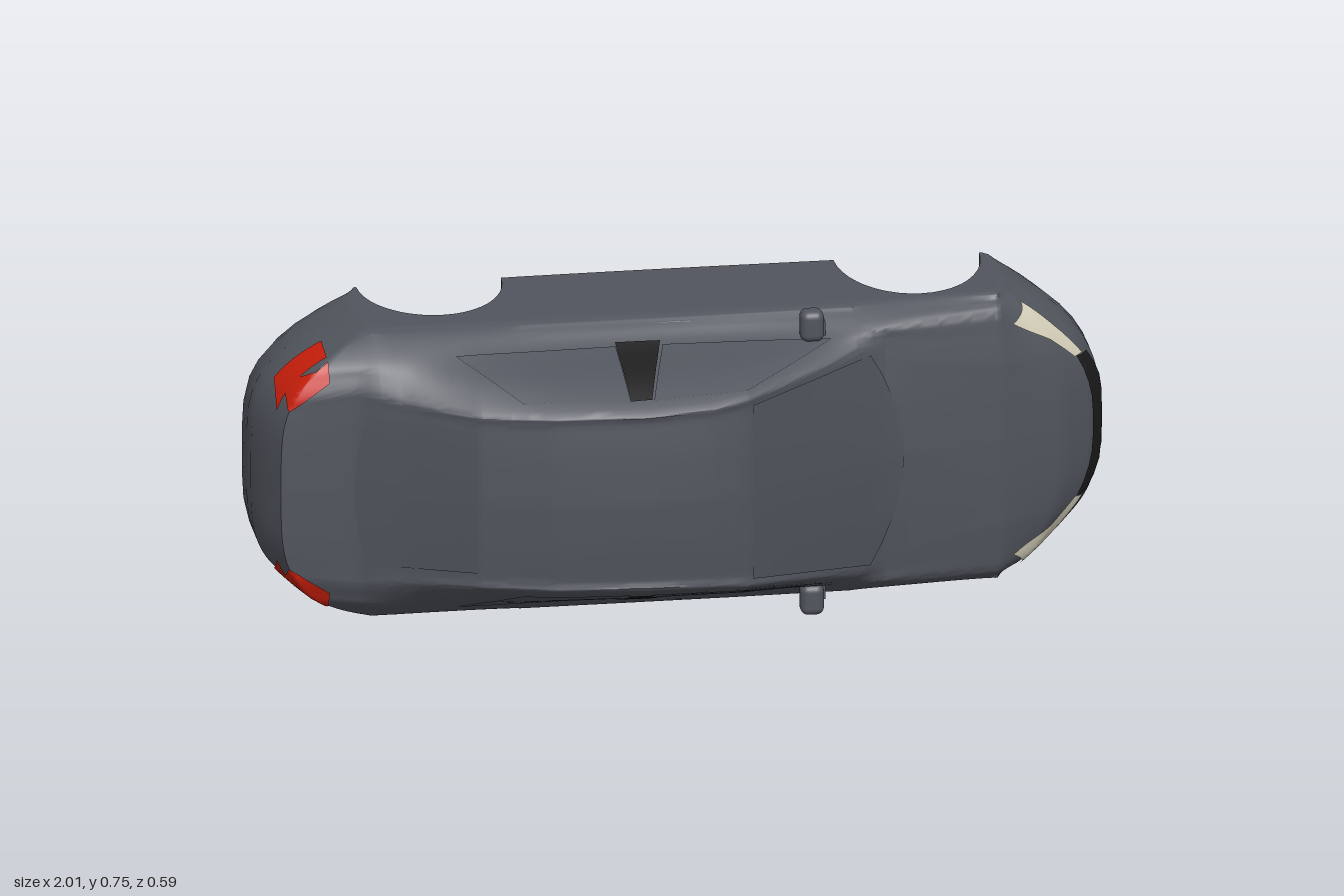
import * as THREE from 'three';
import { toCreasedNormals } from 'three/addons/utils/BufferGeometryUtils.js';
import { RoundedBoxGeometry } from 'three/addons/geometries/RoundedBoxGeometry.js';

// The car lies on its side: x = length (nose +x), y = width, z = height (roof +z).
const MID = 0.38, HALF = 0.355, { lerp } = THREE.MathUtils;

// x, centre top z, roof edge z, roof edge half width, belt z, belt half width, widest z, bottom z
const STATIONS = [
  [-1.0, -0.06, -0.06, 0.2, -0.07, 0.3, -0.1, -0.2],
  [-0.975, 0.02, 0.015, 0.22, 0.005, 0.3, -0.06, -0.24],
  [-0.95, 0.085, 0.08, 0.22, 0.055, 0.295, -0.03, -0.255],
  [-0.78, 0.1, 0.095, 0.24, 0.07, 0.3, -0.02, -0.28],
  [-0.67, 0.15, 0.14, 0.225, 0.08, 0.305, -0.015, -0.285],
  [-0.5, 0.237, 0.225, 0.215, 0.078, 0.31, -0.015, -0.29],
  [-0.33, 0.28, 0.265, 0.218, 0.075, 0.31, -0.015, -0.295],
  [-0.12, 0.297, 0.28, 0.22, 0.075, 0.31, -0.015, -0.297],
  [0.03, 0.286, 0.27, 0.225, 0.072, 0.31, -0.015, -0.297],
  [0.12, 0.262, 0.25, 0.235, 0.07, 0.31, -0.015, -0.297],
  [0.4, 0.115, 0.095, 0.275, 0.062, 0.312, -0.018, -0.295],
  [0.47, 0.08, 0.06, 0.265, 0.052, 0.315, -0.02, -0.295],
  [0.55, 0.062, 0.052, 0.23, 0.038, 0.318, -0.025, -0.295],
  [0.75, 0.028, 0.022, 0.2, 0.004, 0.32, -0.045, -0.295],
  [0.9, -0.025, -0.03, 0.2, -0.04, 0.31, -0.09, -0.28],
  [0.97, -0.08, -0.085, 0.2, -0.095, 0.3, -0.13, -0.25],
  [1.0, -0.13, -0.13, 0.2, -0.14, 0.3, -0.155, -0.2],
];
const ARCHES = [{ x: -0.55, r: 0.17, top: -0.075 }, { x: 0.57, r: 0.17, top: -0.052 }];
const WELL = 0.22; // half width of the solid underside between the wheel wells

function station(x) {
  let i = 0;
  while (i < STATIONS.length - 2 && x > STATIONS[i + 1][0]) i++;
  const a = STATIONS[i], b = STATIONS[i + 1], f = (x - a[0]) / (b[0] - a[0]);
  return a.map((v, k) => lerp(v, b[k], f));
}

// Rounds the nose and tail in plan
function bend(x, w) {
  const q = Math.abs(w) / HALF;
  if (x > 0.745) return 0.745 + (x - 0.745) * (1 - 0.9 * q ** 3);
  if (x < -0.725) return -0.725 + (x + 0.725) * (1 - 0.95 * q ** 4);
  return x;
}

// One closed cross-section: outer skin from side to side, then the underside.
// With flatZ the section collapses to a line that closes the end.
function ring(x, flatZ) {
  const [, zc, zs, ws, zb, wb, zm, bottom] = station(x);
  let low = bottom;
  for (const a of ARCHES) {
    const q = Math.abs(x - a.x) / a.r;
    if (q < 1) low = bottom + (a.top - bottom) * Math.sqrt(1 - q * q);
  }
  const vec = p => new THREE.Vector2(...p);
  const half = new THREE.SplineCurve([
    [0, zc], [ws * 0.5, lerp(zc, zs, 0.3)], [ws * 0.88, lerp(zc, zs, 0.8)], [ws, zs],
    [lerp(ws, wb, 0.52), lerp(zs, zb, 0.43)], [wb, zb], [0.343, lerp(zb, zm, 0.6)],
    [HALF, zm], [HALF, lerp(zm, low, 0.5)], [HALF, low],
  ].map(vec)).getPoints(45);
  const under = [
    ...[0.348, 0.335, 0.315, 0.29, 0.255, WELL].map(w => [w, low]),
    ...[WELL, 0.18, 0.12, 0.06, 0].map(w => [w, bottom]),
  ].map(vec);
  const right = [...half, ...under];
  const left = right.slice(1, -1).reverse().map(p => new THREE.Vector2(-p.x, p.y));
  return [...right, ...left].map(p => {
    const w = THREE.MathUtils.clamp(p.x, -HALF, HALF);
    return [bend(x, w), MID + w, flatZ ?? p.y];
  });
}

// Skins a list of rows of points
function skin(rows, closed) {
  const n = rows[0].length, index = [];
  for (let i = 0; i < rows.length - 1; i++) {
    for (let j = 0; j < (closed ? n : n - 1); j++) {
      const k = (j + 1) % n, a = i * n + j, b = a + n, c = (i + 1) * n + k, d = i * n + k;
      index.push(a, b, c, a, c, d);
    }
  }
  const g = new THREE.BufferGeometry();
  g.setAttribute('position', new THREE.Float32BufferAttribute(rows.flat(2), 3));
  g.setIndex(index);
  g.computeVertexNormals();
  return g;
}

function bodyGeometry() {
  const xs = STATIONS.map(s => s[0]);
  for (let i = 1; i < 50; i++) xs.push(-1 + i * 0.04 + 0.003);
  for (const a of ARCHES) {
    for (let i = 0; i <= 20; i++) xs.push(a.x - a.r * 0.9999 * Math.cos(Math.PI * i / 20));
    xs.push(a.x - a.r - 0.0005, a.x + a.r + 0.0005);
  }
  xs.sort((a, b) => a - b);
  const rows = xs.map(x => ring(x));
  return toCreasedNormals(skin([ring(-1, -0.13), ...rows, ring(1, -0.165)], true), 0.7);
}

export function createModel() {
  const group = new THREE.Group();
  const material = (name, color) => {
    const m = new THREE.MeshStandardMaterial({ color, side: THREE.DoubleSide });
    m.name = name;
    return m;
  };
  const paint = material('grey paint', 0x51555d);
  const glass = material('grey glass', 0x4f535b);
  const black = material('black trim', 0x1c1c1c);
  const red = material('red lamp', 0xc81e0a);
  const cream = material('cream lamp', 0xd8d2bc);
  const add = (name, geometry, mat, x = 0, y = 0, z = 0) => {
    const m = new THREE.Mesh(geometry, mat);
    m.name = name;
    m.position.set(x, y, z);
    group.add(m);
    return m;
  };

  const body = add('bodyShell', bodyGeometry(), paint);
  body.updateMatrixWorld();

  // Lays a four-cornered thin panel on the body, projected along one axis
  const ray = new THREE.Raycaster();
  function panel(name, mat, axis, sign, corners, bow = 0, lift = 0.003) {
    const N = 10, [a, b, c, d] = corners, rows = [];
    const dir = new THREE.Vector3().setComponent(axis, -sign);
    let last = null;
    for (let i = 0; i <= N; i++) {
      const row = [];
      for (let j = 0; j <= N; j++) {
        const u = i / N, v = j / N;
        const p = [0, 1].map(k => lerp(lerp(a[k], b[k], u), lerp(d[k], c[k], u), v));
        p[axis === 0 ? 1 : 0] += bow * 4 * u * (1 - u) * (axis === 0 ? 0.5 + v : v);
        p.splice(axis, 0, sign * 3);
        ray.set(new THREE.Vector3(...p), dir);
        const hit = ray.intersectObject(body)[0];
        if (hit) {
          const n = hit.face.normal.clone();
          if (n.dot(dir) > 0) n.negate();
          last = hit.point.clone().addScaledVector(n, lift).toArray();
        }
        row.push(last || [0, MID, 0]);
      }
      rows.push(row);
    }
    return add(name, skin(rows, false), mat);
  }

  // Windscreen, rear window and grille
  panel('windscreen', glass, 2, 1, [[0.13, 0.165], [0.13, 0.595], [0.43, 0.64], [0.43, 0.12]], 0.08);
  panel('rearWindow', glass, 2, 1, [[-0.51, 0.205], [-0.51, 0.555], [-0.75, 0.565], [-0.75, 0.195]], -0.03);
  panel('grille', black, 0, 1, [[0.208, -0.072], [0.552, -0.072], [0.552, -0.106], [0.208, -0.106]], -0.024, 0.005);

  for (const s of [1, -1]) {
    const side = s > 0 ? 'left' : 'right';
    const Y = w => MID + s * w;
    // Lamps: the tail lamp wraps from the side over the shoulder
    panel(side + 'Headlight', cream, 0, 1,
      [[Y(0.285), -0.005], [Y(0.322), -0.05], [Y(0.175), -0.086], [Y(0.172), -0.068]], 0, 0.005);
    panel(side + 'TailLight', red, 1, s, [[-0.95, 0.04], [-0.835, 0.04], [-0.835, -0.045], [-0.945, -0.04]], 0, 0.005);
    panel(side + 'TailLightTop', red, 2, 1,
      [[-0.835, Y(0.3)], [-0.835, Y(0.258)], [-0.93, Y(0.195)], [-0.93, Y(0.24)]], 0, 0.005);
    // Side glass with the black pillar between the doors
    panel(side + 'FrontWindow', glass, 1, s, [[-0.1, 0.25], [0.12, 0.235], [0.34, 0.078], [-0.055, 0.075]]);
    panel(side + 'RearWindow', glass, 1, s, [[-0.4, 0.225], [-0.155, 0.25], [-0.165, 0.075], [-0.54, 0.08]]);
    panel(side + 'Pillar', black, 1, s, [[-0.155, 0.25], [-0.105, 0.25], [-0.06, 0.065], [-0.165, 0.065]], 0, 0.005);
    // Door mirror on its arm, and the two door handles
    add(side + 'Mirror', new RoundedBoxGeometry(0.055, 0.075, 0.052, 4, 0.018), paint, 0.295, Y(0.339), 0.07);
    add(side + 'MirrorArm', new THREE.BoxGeometry(0.035, 0.06, 0.02), paint, 0.31, Y(0.315), 0.058);
    for (const x of [-0.41, -0.025]) {
      add(side + 'DoorHandle', new RoundedBoxGeometry(0.1, 0.022, 0.016, 3, 0.007), paint, x, Y(0.335), 0.013);
    }
  }

  return group;
}
